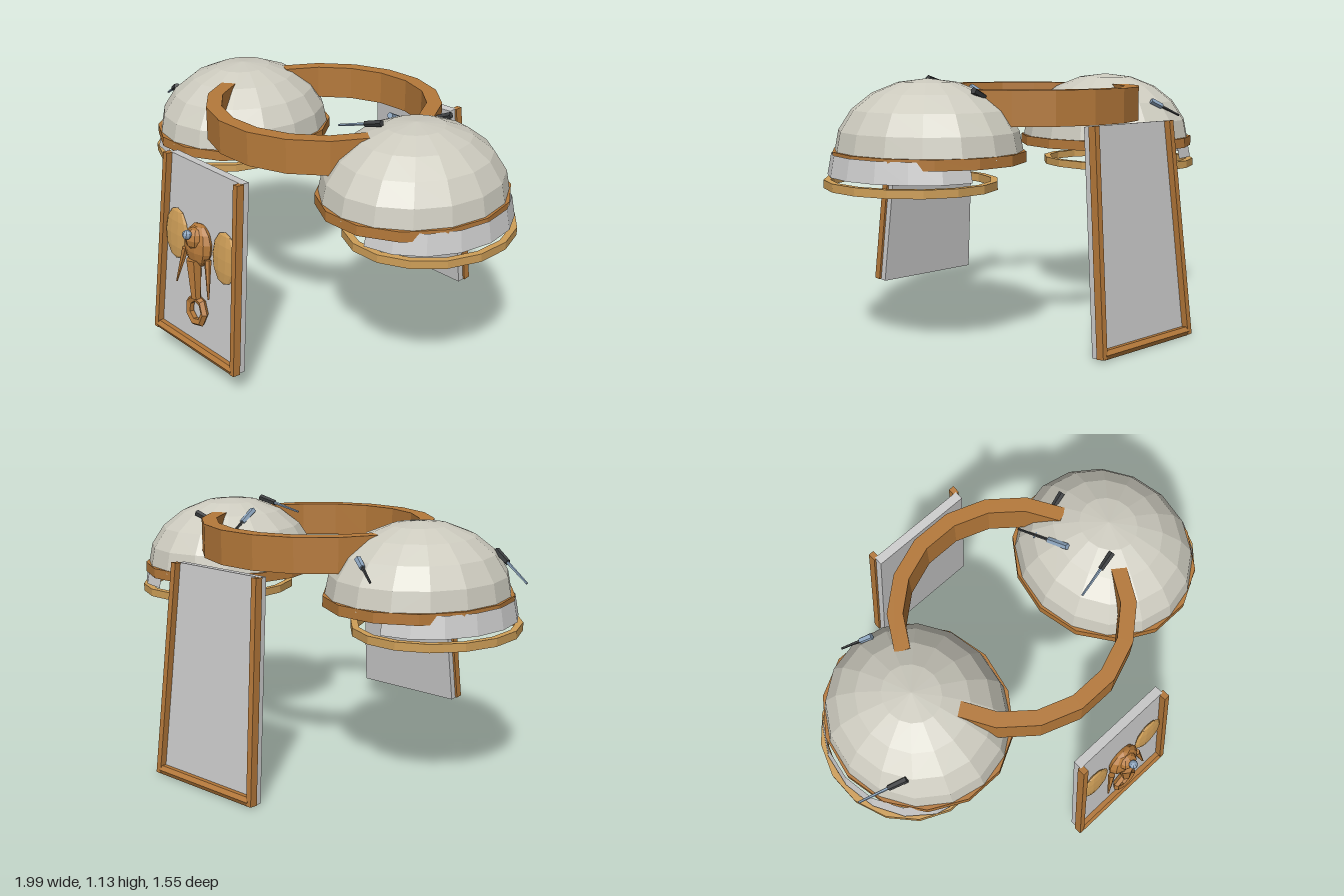
import * as THREE from 'three';

const mat = (color) => new THREE.MeshStandardMaterial({ color, flatShading: true, side: THREE.DoubleSide });
const grey = mat(0xcccccc), shell = mat(0xcdcbbf), bronze = mat(0xb5793a), gold = mat(0xcf9f58);
const steel = mat(0x8ca4bd), dark = mat(0x3c3e40);
const Z0 = -0.01;

function add(parent, name, geometry, material, x = 0, y = 0, z = 0) {
  const mesh = new THREE.Mesh(geometry, material);
  mesh.name = name;
  mesh.position.set(x, y, z);
  parent.add(mesh);
  return mesh;
}

// Tapered rod between two points
function rod(parent, name, a, b, r0, r1, material, sides = 6) {
  const from = new THREE.Vector3(...a), to = new THREE.Vector3(...b);
  const dir = to.clone().sub(from);
  const mesh = add(parent, name, new THREE.CylinderGeometry(r1, r0, dir.length(), sides), material);
  mesh.position.copy(from).add(to).multiplyScalar(0.5);
  mesh.quaternion.setFromUnitVectors(new THREE.Vector3(0, 1, 0), dir.normalize());
  return mesh;
}

// Oval hoop with a rectangular section
function hoop(rx, rz, thick, y0, y1, sides) {
  const pts = [[1 - thick, y0], [1, y0], [1, y1], [1 - thick, y1], [1 - thick, y0]];
  const g = new THREE.LatheGeometry(pts.map((p) => new THREE.Vector2(...p)), sides, Math.PI / sides);
  return g.scale(rx, 1, rz);
}

// Domed shoulder guard with rim, outer skirt and lower hoop
function shoulder(side) {
  const g = new THREE.Group();
  g.name = side > 0 ? 'leftShoulder' : 'rightShoulder';
  const dome = new THREE.SphereGeometry(1, 16, 5, 0, Math.PI * 2, 0, Math.PI / 2).scale(0.385, 0.315, 0.425);
  add(g, 'dome', dome, shell, 0.56, 0.815, Z0);
  add(g, 'rim', hoop(0.395, 0.435, 0.08, 0.785, 0.83, 14), bronze, 0.56, 0, Z0);
  const skirt = new THREE.LatheGeometry(
    [new THREE.Vector2(1, 0.73), new THREE.Vector2(0.95, 0.82)], 8, 0, Math.PI).scale(0.325, 1, 0.39);
  add(g, 'skirt', skirt, grey, 0.655, 0, Z0);
  add(g, 'lowerHoop', hoop(0.348, 0.39, 0.08, 0.68, 0.715, 16), gold, 0.655, 0, Z0);
  g.scale.x = side;
  return g;
}

// Seven-sided collar arc, front or back
function collarArc(front) {
  const pts = [];
  for (const [r, dir] of [[0.525, 1], [0.457, -1]]) {
    for (let i = 0; i <= 7; i++) {
      const a = dir * THREE.MathUtils.degToRad(-70 + i * 20);
      pts.push(new THREE.Vector2(r * Math.sin(a), r * Math.cos(a)));
    }
  }
  const geo = new THREE.ExtrudeGeometry(new THREE.Shape(pts), { depth: 0.15, bevelEnabled: false });
  geo.rotateX(Math.PI / 2);
  const mesh = new THREE.Mesh(geo, bronze);
  mesh.name = front ? 'frontCollar' : 'backCollar';
  mesh.position.set(0, 1.085, -0.016);
  if (!front) mesh.rotation.y = Math.PI;
  return mesh;
}

// Hanging tapered panel with side rails and a bottom bar
function panel(name, bottom, z, front) {
  const g = new THREE.Group();
  g.name = name;
  const tilt = 0.1, taper = 0.043, top = 0.25;
  const len = (0.945 - bottom) / Math.cos(tilt), wide = top + len * taper;
  const s = new THREE.Shape([
    new THREE.Vector2(-wide + 0.01, 0), new THREE.Vector2(wide - 0.01, 0),
    new THREE.Vector2(top - 0.01, len), new THREE.Vector2(-top + 0.01, len)]);
  add(g, 'plate', new THREE.ExtrudeGeometry(s, { depth: 0.04, bevelEnabled: false }), grey, 0, 0, -0.035);
  for (const side of [-1, 1]) {
    const rail = add(g, 'rail', new THREE.BoxGeometry(0.026, len, 0.036), bronze,
      side * ((top + wide) / 2 - 0.013), len / 2, 0.016);
    rail.rotation.z = side * taper;
  }
  const bar = add(g, 'bottomBar', new THREE.CylinderGeometry(0.022, 0.022, wide * 2 - 0.04, 6), bronze, 0, 0.016, 0.016);
  bar.rotation.z = Math.PI / 2;
  g.position.set(0, bottom, z);
  g.rotation.order = 'YXZ';
  g.rotation.set(-tilt, front ? 0 : Math.PI, 0);
  return g;
}

// Elephant-head relief: head, ears, tusks, trunk and curled tip
function emblem() {
  const g = new THREE.Group();
  g.name = 'elephantRelief';
  const head = new THREE.SphereGeometry(1, 10, 7).scale(0.082, 0.098, 0.045);
  add(g, 'head', head, bronze, 0, 0.5, 0.02);
  add(g, 'forehead', new THREE.SphereGeometry(0.05, 8, 6), bronze, 0, 0.535, 0.035);
  add(g, 'foreheadGem', new THREE.SphereGeometry(0.021, 8, 6), steel, 0, 0.56, 0.083);
  for (const s of [-1, 1]) {
    const ear = new THREE.SphereGeometry(1, 10, 6).scale(0.08, 0.118, 0.016);
    add(g, 'ear', ear, gold, s * 0.165, 0.495, 0.012);
    rod(g, 'tusk', [s * 0.078, 0.46, 0.03], [s * 0.112, 0.295, 0.045], 0.016, 0.004, bronze);
  }
  rod(g, 'trunk', [0, 0.44, 0.042], [0.015, 0.262, 0.035], 0.036, 0.022, bronze);
  const curl = new THREE.TorusGeometry(0.053, 0.018, 5, 7).scale(1, 1.12, 1);
  add(g, 'trunkCurl', curl, bronze, 0.012, 0.2, 0.026);
  return g;
}

// Bolt stuck in a dome: thin shaft and a thicker end
function bolt(a, b, endMaterial) {
  const g = new THREE.Group();
  g.name = 'bolt';
  const mid = a.map((v, i) => v + (b[i] - v) * 0.62);
  rod(g, 'shaft', a, mid, 0.005, 0.007, endMaterial === dark ? steel : dark, 5);
  rod(g, 'end', mid, b, 0.013, 0.015, endMaterial, 5);
  return g;
}

export function createModel() {
  const model = new THREE.Group();
  model.name = 'armourSet';
  model.add(shoulder(1), shoulder(-1), collarArc(true), collarArc(false));
  const frontPanel = panel('frontPanel', 0.105, 0.735, true);
  frontPanel.add(emblem());
  model.add(frontPanel, panel('backPanel', 0.012, -0.735, false));
  model.add(
    bolt([-0.995, 0.9, 0.13], [-0.795, 1.0, 0.215], dark),
    bolt([0.26, 1.07, 0.14], [0.47, 1.125, 0.1], dark),
    bolt([0.32, 1.0, -0.22], [0.53, 1.085, -0.265], dark),
    bolt([0.31, 0.97, -0.31], [0.365, 1.09, -0.06], steel),
    bolt([-0.62, 0.94, -0.42], [-0.5, 1.01, -0.35], steel));
  return model;
}
